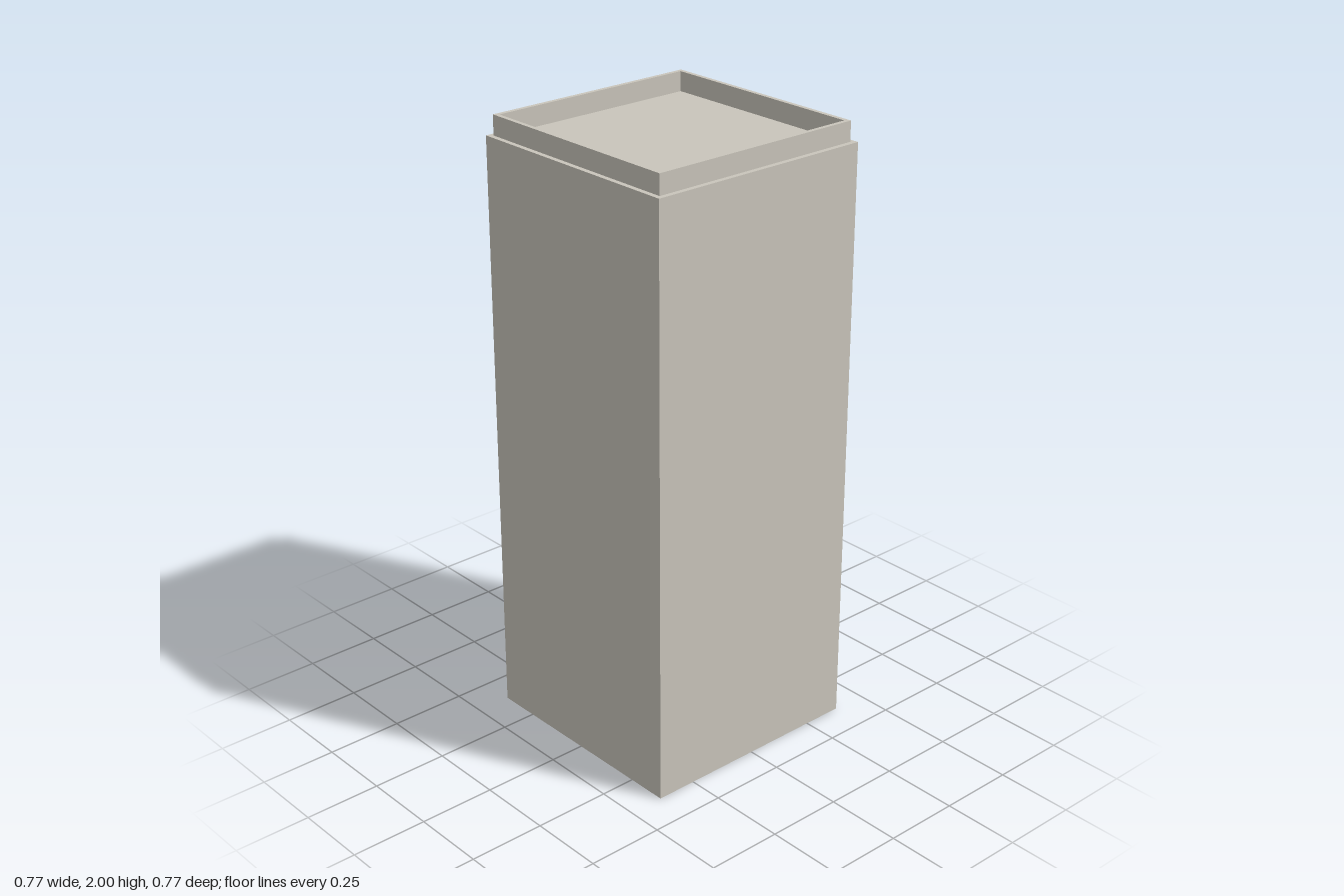
import * as THREE from 'three';

export function createModel() {
  const group = new THREE.Group();
  group.name = 'tower';
  const concrete = new THREE.MeshStandardMaterial({ color: 0xc9c5bb });
  concrete.name = 'concrete';

  const add = (name, geometry, parent = group) => {
    const mesh = new THREE.Mesh(geometry, concrete);
    mesh.name = name;
    parent.add(mesh);
    return mesh;
  };

  const roofY = 1.936, floorY = 1.715;
  const inner = 0.355;

  // Square shell: walls, ledge, parapet and the hollow top storey in one profile
  const profile = [
    [0, 0], [0.385, 0], [0.385, roofY], [0.369, roofY], [0.369, 2],
    [inner, 2], [inner, floorY], [0, floorY],
  ].map(([r, y]) => new THREE.Vector2(r * Math.SQRT2, y));
  const shell = new THREE.LatheGeometry(profile, 4, Math.PI / 4).toNonIndexed();
  shell.computeVertexNormals();
  add('wallsAndParapet', shell);

  // Roof slab, notched on the +x side for the stair opening
  const x0 = 0.223, z0 = -0.27, z1 = -0.021;
  const outline = new THREE.Shape([
    [-inner, -inner], [inner, -inner], [inner, z0], [x0, z0],
    [x0, z1], [inner, z1], [inner, inner], [-inner, inner],
  ].map(([x, z]) => new THREE.Vector2(x, z)));
  const slab = new THREE.ExtrudeGeometry(outline, { depth: 0.018, bevelEnabled: false });
  slab.rotateX(Math.PI / 2).translate(0, roofY, 0);
  add('roofSlab', slab);

  // Stairs going down from the back of the opening towards the front
  const stairs = new THREE.Group();
  stairs.name = 'stairs';
  group.add(stairs);
  const count = 11, run = (z1 - z0) / count;
  const rise = (roofY - floorY) / (count + 1);
  for (let i = 0; i < count; i++) {
    const height = roofY - rise * (i + 1) - floorY;
    const step = add('step', new THREE.BoxGeometry(inner - x0, height, run), stairs);
    step.position.set((inner + x0) / 2, floorY + height / 2, z0 + run * (i + 0.5));
  }
  return group;
}
